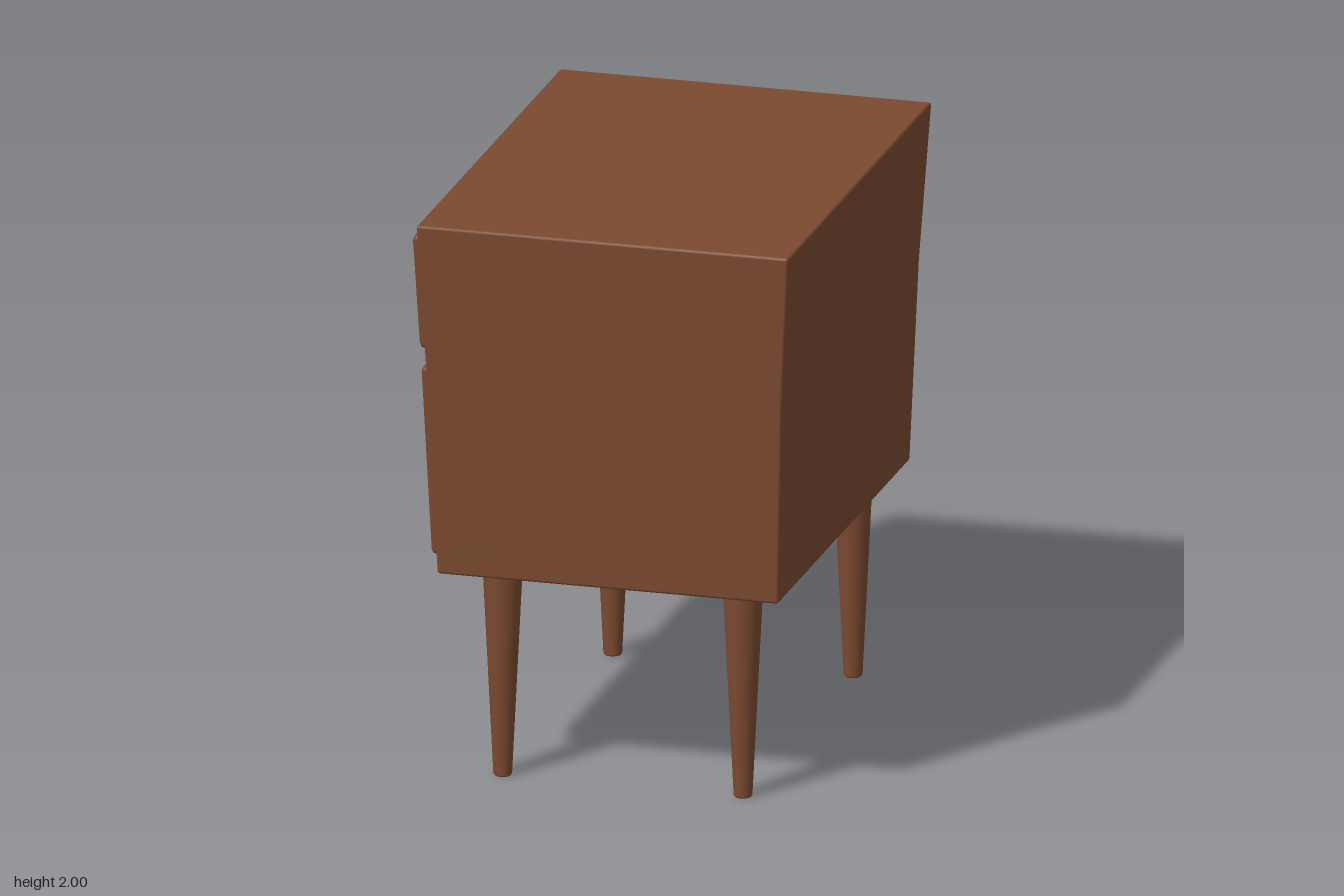
import * as THREE from 'three';

const wood = new THREE.MeshStandardMaterial({ color: 0x7b4a30 });
wood.name = 'walnut';
const metal = new THREE.MeshStandardMaterial({ color: 0xb8b8b8 });
metal.name = 'brushedSteel';

// Tapered cabinet outline at three heights: [y, minX, maxX, halfZ]
const OUTLINE = [[0.74, -0.558, 0.644, 0.811], [1.45, -0.586, 0.667, 0.848], [2, -0.611, 0.7, 0.885]];

function outlineAt(y) {
  const [a, b] = y < 1.45 ? [OUTLINE[0], OUTLINE[1]] : [OUTLINE[1], OUTLINE[2]];
  const t = (y - a[0]) / (b[0] - a[0]);
  const mix = (i) => THREE.MathUtils.lerp(a[i], b[i], t);
  return { minX: mix(1), maxX: mix(2), halfZ: mix(3) };
}

// Solid with rounded edges, lofted upward through sections given by bounds(y)
function loftBox(y0, y1, r, midYs, bounds) {
  const rings = [[y0, r], [y0 + r * 0.3, r * 0.3], [y0 + r, 0], ...midYs.map((y) => [y, 0]),
    [y1 - r, 0], [y1 - r * 0.3, r * 0.3], [y1, r]];
  const steps = 4, n = 4 * (steps + 1);
  const pos = [], index = [];
  for (const [y, inset] of rings) {
    const { minX, maxX, halfZ } = bounds(y);
    const cx = (minX + maxX) / 2, hx = (maxX - minX) / 2 - r, hz = halfZ - r;
    const rad = Math.max(r - inset, 0.001);
    for (let c = 0; c < 4; c++) {
      const sx = c === 0 || c === 3 ? 1 : -1, sz = c < 2 ? 1 : -1;
      for (let s = 0; s <= steps; s++) {
        const a = (c + s / steps) * Math.PI / 2;
        pos.push(cx + sx * hx + Math.cos(a) * rad, y, sz * hz + Math.sin(a) * rad);
      }
    }
  }
  for (let k = 0; k < rings.length - 1; k++) {
    for (let i = 0; i < n; i++) {
      const a = k * n + i, b = k * n + (i + 1) % n;
      index.push(a, a + n, b, b, a + n, b + n);
    }
  }
  // end caps
  const top = (rings.length - 1) * n;
  for (let i = 1; i < n - 1; i++) {
    index.push(0, i, i + 1, top, top + i + 1, top + i);
  }
  const geo = new THREE.BufferGeometry();
  geo.setAttribute('position', new THREE.Float32BufferAttribute(pos, 3));
  geo.setIndex(index);
  geo.computeVertexNormals();
  return geo;
}

// Bowed pull handle, flattened in depth
function handleGeometry() {
  const flat = 0.7, points = [];
  for (let i = 0; i <= 16; i++) {
    const a = Math.PI * i / 16;
    points.push(new THREE.Vector3(-Math.sin(a) * 0.072 / flat, 0, Math.cos(a) * 0.157));
  }
  const geo = new THREE.TubeGeometry(new THREE.CatmullRomCurve3(points), 40, 0.026, 14);
  geo.scale(flat, 1, 1);
  geo.computeVertexNormals();
  return geo;
}

export function createModel() {
  const model = new THREE.Group();
  model.name = 'nightstand';
  const add = (name, geo, mat) => {
    const mesh = new THREE.Mesh(geo, mat);
    mesh.name = name;
    model.add(mesh);
    return mesh;
  };

  // Flared cabinet
  add('cabinet', loftBox(0.74, 2, 0.01, [1.45], outlineAt), wood);

  // Drawer fronts follow the slope of the cabinet's -x face
  const drawers = [['upper', 1.535, 1.945, 1.717], ['lower', 0.79, 1.47, 1.26]];
  const handle = handleGeometry();
  for (const [name, y0, y1, handleY] of drawers) {
    const panel = (y) => {
      const o = outlineAt(y);
      return { minX: o.minX - 0.034, maxX: o.minX + 0.02, halfZ: o.halfZ - 0.05 };
    };
    add(name + 'Drawer', loftBox(y0, y1, 0.018, [], panel), wood);
    const pull = add(name + 'Handle', handle, metal);
    pull.position.set(outlineAt(handleY).minX - 0.016, handleY, 0.012);
    pull.rotation.z = 0.05;
  }

  // Tapered round legs with a softened foot
  const legProfile = [[0, 0], [0.028, 0], [0.032, 0.006], [0.068, 0.74], [0.068, 0.76]]
    .map(([x, y]) => new THREE.Vector2(x, y));
  const leg = new THREE.LatheGeometry(legProfile, 28);
  for (const x of [-0.365, 0.482]) {
    for (const z of [-0.677, 0.677]) {
      add('leg', leg, wood).position.set(x, 0, z);
    }
  }
  return model;
}
